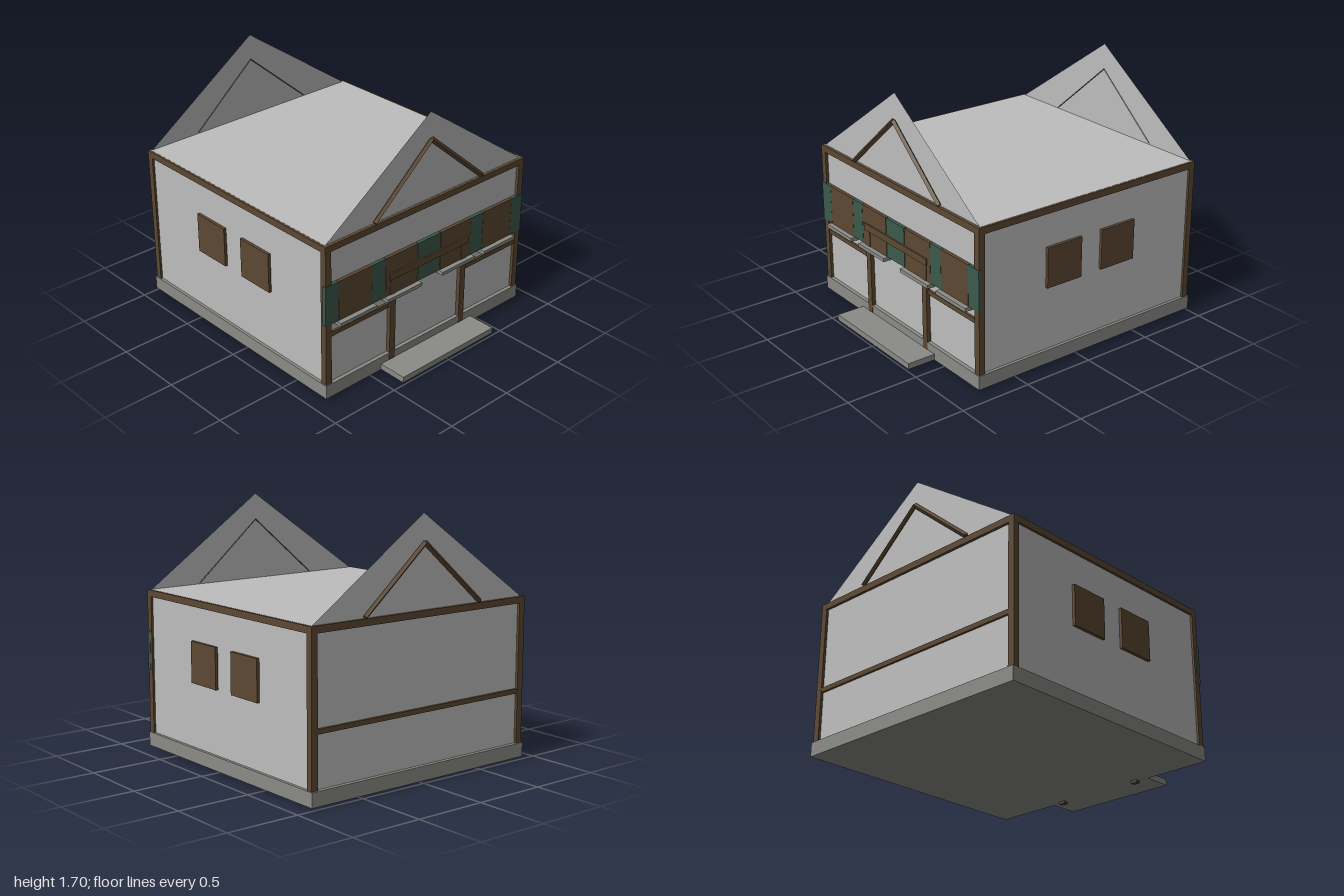
import * as THREE from 'three';

export function createModel() {
  const house = new THREE.Group();
  house.name = 'house';

  const mat = (name, color, side = THREE.FrontSide) => {
    const m = new THREE.MeshStandardMaterial({ color, side });
    m.name = name;
    return m;
  };
  const plaster = mat('plaster', 0xbebebe, THREE.DoubleSide);
  const timber = mat('timber', 0x5c4832);
  const shutterGreen = mat('shutterGreen', 0x3d5a4c);
  const stone = mat('stone', 0x8b8c86);

  const add = (name, geometry, material) => {
    const mesh = new THREE.Mesh(geometry, material);
    mesh.name = name;
    house.add(mesh);
    return mesh;
  };
  // Box given by its limits on each axis
  const box = (name, material, [x0, x1], [y0, y1], [z0, z1]) =>
    add(name, new THREE.BoxGeometry(x1 - x0, y1 - y0, z1 - z0), material)
      .position.set((x0 + x1) / 2, (y0 + y1) / 2, (z0 + z1) / 2);

  // Base, front step and main block
  box('foundation', stone, [-0.893, 0.893], [0.017, 0.113], [-1, 0.798]);
  box('frontStep', stone, [-0.42, 0.42], [0.019, 0.06], [0.79, 1]);
  box('walls', plaster, [-0.873, 0.873], [0.1, 1.101], [-0.972, 0.772]);

  // Corner posts and top beams
  for (const s of [-1, 1]) {
    const x = s < 0 ? [-0.888, -0.841] : [0.841, 0.888];
    box('cornerPost', timber, x, [0.1, 1.06], [0.748, 0.792]);
    box('cornerPost', timber, x, [0.1, 1.06], [-0.99, -0.946]);
    box('sideTopBeam', timber, x, [1.055, 1.1], [-0.99, 0.792]);
  }
  box('frontTopBeam', timber, [-0.888, 0.888], [1.056, 1.1], [0.748, 0.792]);
  box('backTopBeam', timber, [-0.888, 0.888], [1.056, 1.1], [-0.99, -0.946]);

  // Middle rails: split by the porch in front, whole at the back
  box('frontRail', timber, [-0.85, -0.32], [0.453, 0.485], [0.76, 0.787]);
  box('frontRail', timber, [0.32, 0.85], [0.453, 0.485], [0.76, 0.787]);
  box('backRail', timber, [-0.85, 0.85], [0.453, 0.485], [-0.987, -0.96]);

  // Gable sheets with diamond-section rafters
  const gable = new THREE.Shape([
    new THREE.Vector2(-0.875, 1.095), new THREE.Vector2(0.875, 1.095), new THREE.Vector2(0, 1.7),
  ]);
  for (const [zGable, zRafter] of [[0.77, 0.784], [-0.97, -0.984]]) {
    add('gable', new THREE.ShapeGeometry(gable), plaster).position.z = zGable;
    for (const s of [-1, 1]) {
      const dx = 0.478, dy = 0.41;
      const rafter = add('gableRafter',
        new THREE.CylinderGeometry(0.017, 0.017, Math.hypot(dx, dy), 4).toNonIndexed(), timber);
      rafter.geometry.computeVertexNormals();
      rafter.position.set(s * dx / 2, 1.108 + dy / 2, zRafter);
      rafter.rotation.z = s * Math.atan2(dx, dy);
    }
  }

  // Front windows with sills
  for (const x of [-0.645, -0.247, 0.247, 0.642]) {
    box('frontWindow', timber, [x - 0.14, x + 0.14], [0.55, 0.828], [0.765, 0.796]);
    box('windowSill', stone, [x - 0.153, x + 0.153], [0.525, 0.55], [0.77, 0.83]);
  }
  // Shutters between and beside the windows
  for (const x of [[-0.893, -0.787], [-0.504, -0.39], [-0.102, 0.1], [0.388, 0.5], [0.784, 0.89]])
    box('shutter', shutterGreen, x, [0.55, 0.828], [0.77, 0.7955]);

  // Side windows
  for (const x of [[-0.893, -0.86], [0.86, 0.893]])
    for (const z of [[-0.015, 0.262], [-0.46, -0.182]])
      box('sideWindow', timber, x, [0.55, 0.828], z);

  // Porch frame
  for (const x of [-0.324, 0.321])
    box('porchPost', timber, [x - 0.024, x + 0.024], [0, 0.67], [0.766, 0.8]);
  box('porchLintel', timber, [-0.357, 0.355], [0.66, 0.708], [0.77, 0.806]);

  return house;
}
